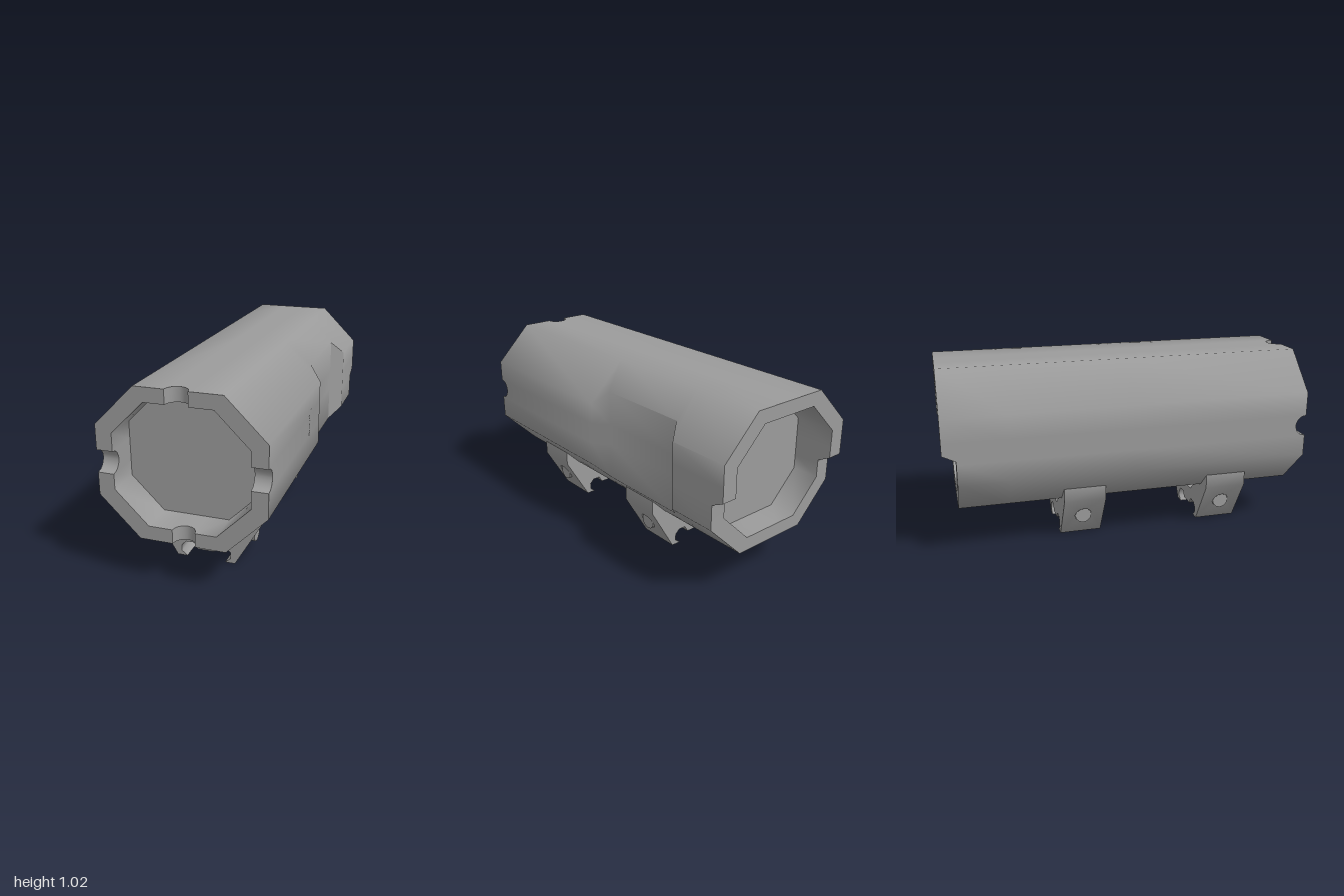
import * as THREE from 'three';
import { mergeGeometries, toCreasedNormals } from 'three/addons/utils/BufferGeometryUtils.js';

const material = new THREE.MeshStandardMaterial({ color: 0x9b9b9b, side: THREE.DoubleSide });
const CY = 0.631; // height of the tube axis
const NOTCH = 0.058; // radius of the rim notches
const NOTCH_SHIFT = 0.007; // notches sit slightly round from the middle of each flat
const CREASE = 1.1;
const steps = [-1, -0.91, -0.8, -0.6, -0.31, -0.1, 0.07, 0.4, 0.67, 0.9, 1];

function add(group, name, geometry) {
  const mesh = new THREE.Mesh(geometry, material);
  mesh.name = name;
  group.add(mesh);
  return mesh;
}

// Octagon loop, anticlockwise from the front; each flat carries the notch samples.
// "right" moves only the +x flat, sliding its corners along the chamfers.
function octagon(hx, hy, chamfer, right = hx) {
  const loop = [];
  const flats = [
    [(s) => [right, s], hy - chamfer + hx - right],
    [(s) => [-s, hy], hx - chamfer],
    [(s) => [-hx, -s], hy - chamfer],
    [(s) => [s, -hy], hx - chamfer],
  ];
  for (const [at, half] of flats) {
    const notch = steps.map((t) => [t * NOTCH + NOTCH_SHIFT, NOTCH * Math.sqrt(1 - t * t)]);
    for (const [s, dip] of [[-half, 0], ...notch, [half, 0]]) {
      const [x, y] = at(s);
      loop.push({ x, y: y + CY, dip });
    }
  }
  return loop;
}

// Skin a list of equal-length loops running from front centre to back centre.
function skin(rows) {
  const index = [];
  const n = rows[0].length;
  for (let i = 0; i < rows.length - 1; i++) {
    for (let j = 0; j < n; j++) {
      const a = i * n + j, b = a + n, c = i * n + ((j + 1) % n), d = c + n;
      if (i === 0) index.push(a, b, d);
      else index.push(a, b, c);
      if (i > 0 && i < rows.length - 2) index.push(c, b, d);
    }
  }
  const geometry = new THREE.BufferGeometry();
  geometry.setAttribute('position', new THREE.Float32BufferAttribute(rows.flat(2), 3));
  geometry.setIndex(index);
  return toCreasedNormals(geometry, CREASE);
}

function tubeGeometry() {
  const outer = (right) => octagon(0.427, 0.388, 0.207, right);
  const inner = octagon(0.343, 0.314, 0.17);
  const place = (loop, z) => loop.map((p) => [p.x, p.y, typeof z === 'function' ? z(p) : z]);
  const frontRim = (p) => 1 - p.dip;
  // The lower half of the back end is set in, with a short ramp at the sides
  const backRim = (p) => -1 + 0.07 * THREE.MathUtils.clamp((0.62 - p.y) / 0.035, 0, 1);
  const centre = (z) => inner.map(() => [0, CY, z]);
  return skin([
    centre(0.82),
    place(inner, 0.82),
    place(inner, frontRim),
    place(outer(), frontRim),
    place(outer(), 0.01),
    place(outer(0.355), -0.06),
    place(outer(0.355), -0.6),
    place(outer(), -0.655),
    place(outer(), backRim),
    place(inner, backRim),
    place(inner, -0.78),
    centre(-0.78),
  ]);
}

const CLAMP_DEPTH = 0.235;
const BOLT = { y: 0.137, r: 0.046, end: 0.243 };
const slopeX = (y) => 0.16 + 0.146 * (y / 0.25); // sloping flank of the clamp

// Flank plate with a round bolt hole, laid onto the slope
function flankGeometry() {
  const w = CLAMP_DEPTH / 2;
  const shape = new THREE.Shape([[-w, 0], [w, 0], [w, 0.25], [-w, 0.25]].map((p) => new THREE.Vector2(...p)));
  shape.holes.push(new THREE.Path().absarc(0, BOLT.y, BOLT.r, 0, Math.PI * 2, true));
  const flank = new THREE.ShapeGeometry(shape, 12).rotateY(Math.PI / 2).toNonIndexed();
  const p = flank.attributes.position;
  for (let i = 0; i < p.count; i++) p.setX(i, slopeX(p.getY(i)));
  return flank;
}

function clampGeometry() {
  // Right half of the outline, from the window floor round to the rail groove
  const half = [
    [0.055, 0.15], [0.112, 0.2], [0.112, 0.243], [0.22, 0.243], [0.306, 0.329],
    [0.306, 0.25], [0.16, 0], [0.106, 0], [0.136, 0.025], [0.136, 0.06],
    [0.11, 0.085], [0.066, 0.085], [0.046, 0.05],
  ];
  const mirrored = half.map(([x, y]) => [-x, y]).reverse();
  const shape = new THREE.Shape([...half, ...mirrored].map((p) => new THREE.Vector2(...p)));
  const solid = new THREE.ExtrudeGeometry(shape, { depth: CLAMP_DEPTH, bevelEnabled: false });
  solid.translate(0, 0, -CLAMP_DEPTH / 2);

  // Leave out the plain flanks, then put in the ones with holes
  const p = solid.attributes.position;
  const onSlope = (i) => p.getY(i) < 0.2501 && Math.abs(Math.abs(p.getX(i)) - slopeX(p.getY(i))) < 1e-4;
  const kept = [];
  for (let i = 0; i < p.count; i += 3) {
    const corners = [i, i + 1, i + 2];
    if (!corners.every(onSlope)) corners.forEach((k) => kept.push(p.getX(k), p.getY(k), p.getZ(k)));
  }
  const body = new THREE.BufferGeometry();
  body.setAttribute('position', new THREE.Float32BufferAttribute(kept, 3));
  const parts = [body, flankGeometry(), flankGeometry().rotateY(Math.PI)];
  parts.forEach((g) => ['normal', 'uv'].forEach((name) => g.deleteAttribute(name)));
  return toCreasedNormals(mergeGeometries(parts), CREASE);
}

// Bolt end: sunk into the flank at the top, standing out of it at the bottom
function boltGeometry() {
  const wall = new THREE.CylinderGeometry(BOLT.r, BOLT.r, 1, 12, 1, true).rotateZ(-Math.PI / 2);
  wall.translate(0, BOLT.y, 0);
  const p = wall.attributes.position;
  for (let i = 0; i < p.count; i++) p.setX(i, p.getX(i) > 0 ? BOLT.end : slopeX(p.getY(i)));
  const face = new THREE.CircleGeometry(BOLT.r, 12).rotateY(Math.PI / 2).translate(BOLT.end, BOLT.y, 0);
  return mergeGeometries([wall, face]);
}

export function createModel() {
  const model = new THREE.Group();
  model.name = 'octagonalTubeWithClamps';
  add(model, 'tube', tubeGeometry());

  // Two rail clamps, each with a bolt end on either side
  [0.585, -0.245].forEach((z, i) => {
    const clamp = new THREE.Group();
    clamp.name = i === 0 ? 'frontClamp' : 'rearClamp';
    clamp.position.z = z;
    add(clamp, 'clampBody', clampGeometry());
    add(clamp, 'leftBolt', boltGeometry());
    add(clamp, 'rightBolt', boltGeometry()).rotation.y = Math.PI;
    model.add(clamp);
  });
  return model;
}
